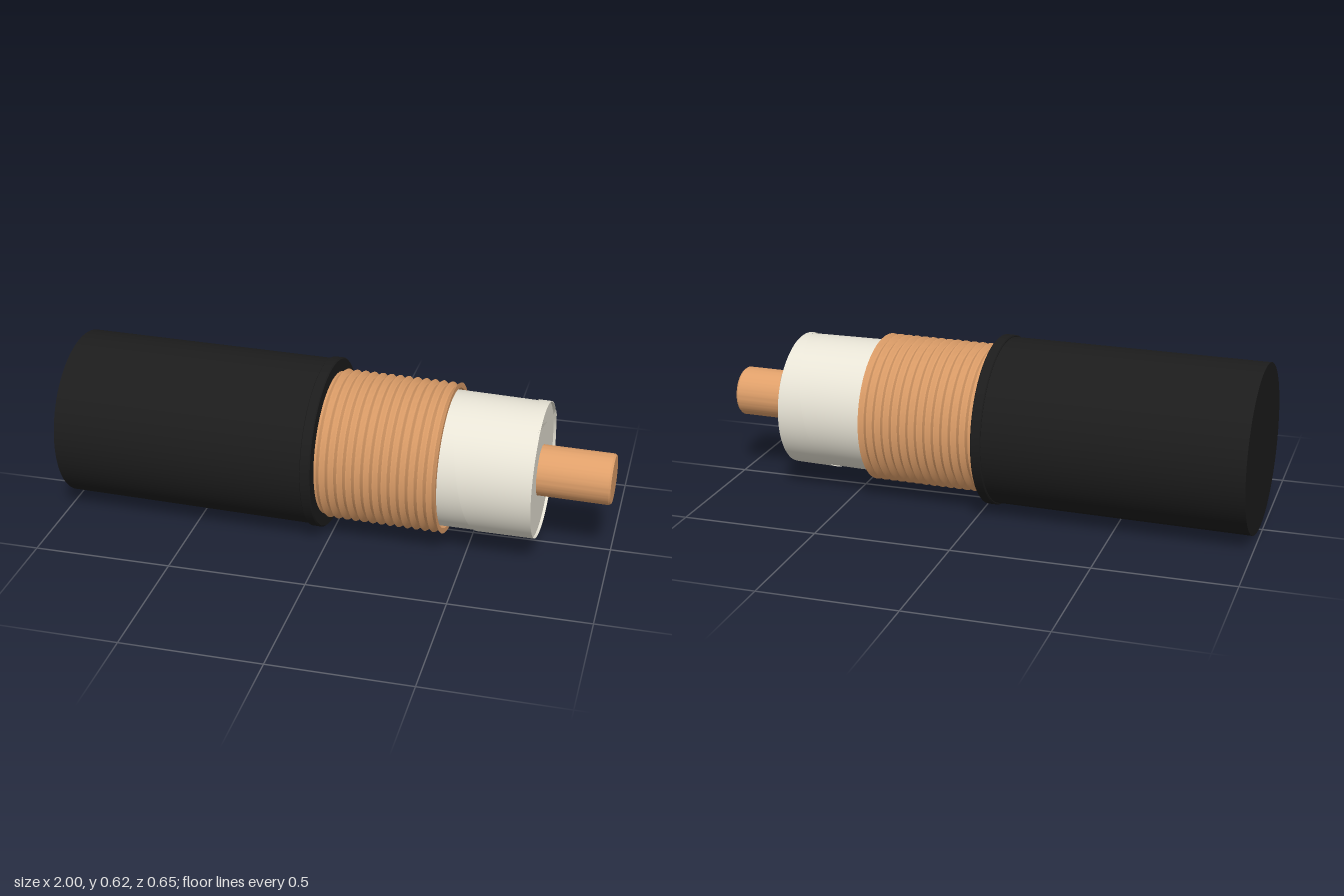
import * as THREE from 'three';
import { toCreasedNormals } from 'three/addons/utils/BufferGeometryUtils.js';

const material = (color, side = THREE.FrontSide) => new THREE.MeshStandardMaterial({ color, side });

// Turn a profile of [position along cable, radius] points around the x axis.
function turned(name, profile, mat, crease = 0.6) {
  const points = profile.map(([x, r]) => new THREE.Vector2(r, x));
  const geometry = new THREE.LatheGeometry(points, 96).rotateZ(-Math.PI / 2);
  const mesh = new THREE.Mesh(toCreasedNormals(geometry, crease), mat);
  mesh.name = name;
  return mesh;
}

// Overlapping tape wound around the insulator, one edge slightly raised.
function wrapGeometry() {
  const pitch = 0.3, steps = 240, across = 6, start = 0.12, end = 0.748;
  const pos = [], index = [];
  for (let i = 0; i <= steps; i++) {
    const turn = (i / steps) * 2.1;
    const a = turn * Math.PI * 2;
    for (let j = 0; j <= across; j++) {
      const t = j / across;
      const x = Math.min(end, start + pitch * (turn + t));
      const r = 0.2425 + 0.0035 * (1 - t);
      pos.push(x, r * Math.cos(a), r * Math.sin(a));
    }
  }
  const row = across + 1;
  for (let i = 0; i < steps; i++) {
    for (let j = 0; j < across; j++) {
      const a = i * row + j, b = a + row;
      index.push(a, a + 1, b, b, a + 1, b + 1);
    }
  }
  const geometry = new THREE.BufferGeometry();
  geometry.setAttribute('position', new THREE.Float32BufferAttribute(pos, 3));
  geometry.setIndex(index);
  geometry.computeVertexNormals();
  return geometry;
}

// Twisted loose end of the tape, crossing the insulator's face.
function flapGeometry() {
  const geometry = new THREE.BufferGeometry();
  geometry.setAttribute('position', new THREE.Float32BufferAttribute([
    0.742, 0.207, 0.135, 0.746, 0.225, 0.095, 0.746, 0.175, -0.035,
    0.746, 0.175, -0.035, 0.752, 0.145, -0.192, 0.752, 0.115, -0.208,
  ], 3));
  geometry.computeVertexNormals();
  return geometry;
}

export function createModel() {
  const model = new THREE.Group();
  const cable = new THREE.Group();
  cable.name = 'cable';
  model.add(cable);

  const rubber = material(0x1c1c1c);
  const copper = material(0xe0a06a);
  const copperThin = material(0xe0a06a, THREE.DoubleSide);
  const plastic = material(0xe8e4d6);
  const tape = material(0xe8e4d6, THREE.DoubleSide);

  // Outer jacket and its raised cut lip
  cable.add(turned('jacket', [[-0.99, 0], [-0.99, 0.303], [-0.04, 0.303]], rubber));
  cable.add(turned('jacketLip', [
    [-0.058, 0.3], [-0.058, 0.306], [-0.055, 0.31], [-0.024, 0.31], [-0.02, 0.306], [-0.02, 0.24],
  ], rubber));

  // Corrugated shield: ridged outside, plain bore
  const ridges = 14, perRidge = 6, x0 = -0.03, x1 = 0.42;
  const shield = [];
  for (let i = 0; i <= ridges * perRidge; i++) {
    const t = i / (ridges * perRidge);
    shield.push([x0 + t * (x1 - x0), 0.264 - 0.008 * Math.cos(t * ridges * Math.PI * 2 + Math.PI)]);
  }
  shield.push([x1, 0.253], [x0, 0.253]);
  cable.add(turned('corrugatedShield', shield, copperThin, 0.9));

  // Insulator and wound tape
  cable.add(turned('insulator', [[-0.03, 0.242], [0.738, 0.242], [0.738, 0]], plastic));
  const wrap = new THREE.Mesh(wrapGeometry(), tape);
  wrap.name = 'tapeWrap';
  const flap = new THREE.Mesh(flapGeometry(), tape);
  flap.name = 'tapeEnd';
  cable.add(wrap, flap);

  // Solid centre conductor
  cable.add(turned('conductor', [[0.72, 0.091], [0.99, 0.091], [0.997, 0.086], [0.997, 0]], copper));

  // The cable lies slightly turned about the vertical
  cable.rotation.y = -0.034;
  cable.position.set(0, 0.31, 0.012);
  return model;
}
